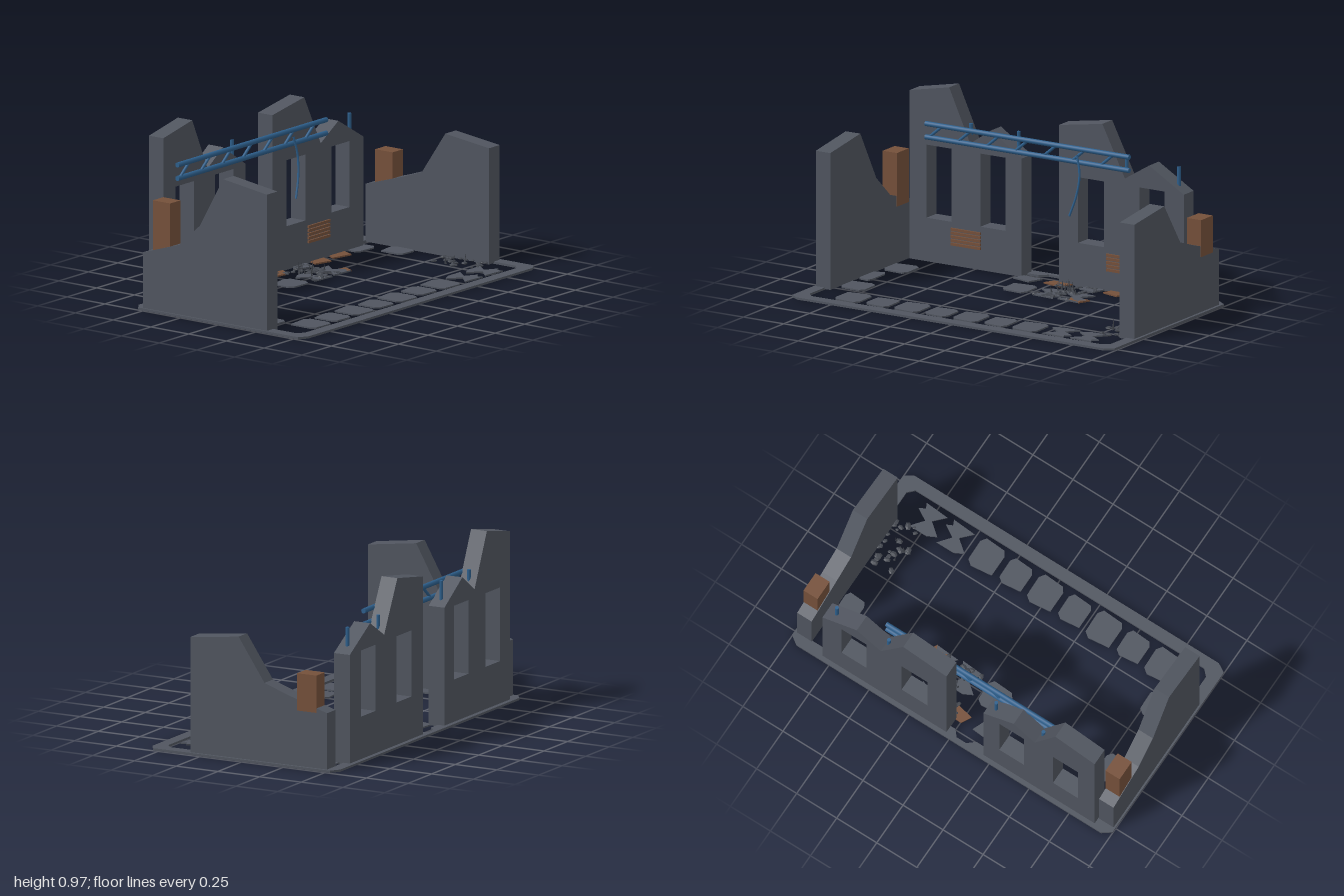
import * as THREE from 'three';

export function createModel() {
  const root = new THREE.Group();
  root.name = 'ruinedBuilding';
  const mat = (name, color) => {
    const m = new THREE.MeshStandardMaterial({ color });
    m.name = name;
    return m;
  };
  const stone = mat('slate grey stone', 0x50555f);
  const brick = mat('rusty brown', 0x75503a);
  const steel = mat('blue steel', 0x2d5f8c);
  const rubbleMat = mat('dark rubble', 0x41454d);

  let seed = 11;
  const rnd = () => (seed = (seed * 16807) % 2147483647) / 2147483647;

  const add = (name, geo, m, x = 0, y = 0, z = 0, parent = root) => {
    const mesh = new THREE.Mesh(geo, m);
    mesh.name = name;
    mesh.position.set(x, y, z);
    parent.add(mesh);
    return mesh;
  };
  const group = (name) => {
    const g = new THREE.Group();
    g.name = name;
    root.add(g);
    return g;
  };
  const poly = (pts) => new THREE.Shape(pts.map(([x, y]) => new THREE.Vector2(x, y)));
  const extrude = (shape, depth) => new THREE.ExtrudeGeometry(shape, { depth, bevelEnabled: false });
  const bar = (name, a, b, r, parent = root) => {
    const p = new THREE.Vector3(...a), q = new THREE.Vector3(...b);
    const d = q.clone().sub(p);
    const mesh = add(name, new THREE.CylinderGeometry(r, r, d.length(), 10), steel, 0, 0, 0, parent);
    mesh.position.copy(p).add(q).multiplyScalar(0.5);
    mesh.quaternion.setFromUnitVectors(new THREE.Vector3(0, 1, 0), d.normalize());
  };

  // Foundation kerb with chamfered corners and a notch at the doorway
  const kerb = poly([[-1, -0.53], [-0.95, -0.565], [0.95, -0.565], [1, -0.53],
    [1, 0.53], [0.95, 0.56], [-0.95, 0.56], [-1, 0.53]]);
  kerb.holes.push(poly([[-0.935, -0.46], [-0.9, -0.5], [-0.13, -0.5], [-0.09, -0.535], [-0.03, -0.535],
    [0, -0.5], [0.9, -0.5], [0.935, -0.46], [0.935, 0.46], [0.9, 0.495], [-0.9, 0.495], [-0.935, 0.46]]));
  add('foundationKerb', extrude(kerb, 0.012).rotateX(Math.PI / 2), stone, 0, 0.013, 0);

  // Broken back walls with window openings
  const backWall = (name, outline, windows, y0, y1) => {
    const s = poly(outline);
    for (const [a, b] of windows) s.holes.push(poly([[a, y0], [b, y0], [b, y1], [a, y1]]));
    add(name, extrude(s, 0.095), stone, 0, 0, -0.54);
  };
  backWall('backWallRight', [[-0.895, 0.005], [-0.2, 0.005], [-0.2, 0.645], [-0.39, 0.77],
    [-0.52, 0.68], [-0.65, 0.965], [-0.895, 0.915]], [[-0.79, -0.635], [-0.455, -0.3]], 0.24, 0.635);
  backWall('backWallLeft', [[0.03, 0.005], [0.805, 0.005], [0.805, 0.595], [0.59, 0.722],
    [0.44, 0.63], [0.3, 0.905], [0.03, 0.86]], [[0.15, 0.31], [0.53, 0.685]], 0.24, 0.595);

  // Sloping side walls, profile given as z, y
  const sideWall = (name, x, profile) => {
    const pts = [[0.315, 0.005], ...profile, [-0.505, 0.005]].map(([z, y]) => [-z, y]);
    add(name, extrude(poly(pts), 0.09).rotateY(Math.PI / 2), stone, x, 0, 0);
  };
  sideWall('sideWallRight', -0.99, [[0.315, 0.745], [0.025, 0.785], [-0.13, 0.51], [-0.265, 0.388], [-0.505, 0.312]]);
  sideWall('sideWallLeft', 0.895, [[0.315, 0.63], [0.025, 0.665], [-0.13, 0.435], [-0.265, 0.388], [-0.505, 0.315]]);

  // Brown stacks on the low ends of the side walls
  for (const [x, top] of [[-0.943, 0.6], [0.943, 0.51]]) {
    add('cornerStack', new THREE.BoxGeometry(0.088, top - 0.31, 0.115), brick, x, (top + 0.31) / 2, -0.385);
  }

  // Slatted vents under the windows
  for (const x of [-0.545, 0.42]) {
    const vent = group('vent');
    for (let i = 0; i < 5; i++) {
      add('ventSlat', new THREE.BoxGeometry(0.182, 0.014, 0.012), brick, x, 0.122 + i * 0.02, -0.441, vent);
    }
  }

  // Fallen roof truss: two rails with slanting braces
  const truss = group('roofTruss');
  const tz = -0.435;
  for (const y of [0.68, 0.752]) bar('trussRail', [-0.79, y, tz], [0.475, y, tz], 0.0135, truss);
  for (let i = 0; i < 7; i++) {
    const x = -0.77 + i * 0.177;
    bar('trussBrace', [x, 0.68, tz], [x + 0.085, 0.752, tz], 0.008, truss);
  }

  // Reinforcing rods sticking out of the wall tops
  for (const [x, top] of [[-0.545, 0.775], [-0.25, 0.775], [0.42, 0.727], [0.745, 0.727]]) {
    bar('wallRod', [x, top - 0.105, -0.493], [x, top, -0.493], 0.01);
  }

  // Hanging cable
  const cable = new THREE.CatmullRomCurve3([[0.165, 0.725, -0.41], [0.187, 0.62, -0.4],
    [0.175, 0.51, -0.387], [0.14, 0.4, -0.375]].map((p) => new THREE.Vector3(...p)));
  add('hangingCable', new THREE.TubeGeometry(cable, 16, 0.006, 6), steel);

  // Broken floor slabs
  const slabs = group('floorSlabs');
  const whole = [[-0.5, -0.42], [0.28, -0.5], [0.48, -0.36], [0.5, 0.32], [0.36, 0.5], [-0.38, 0.46], [-0.5, 0.3]];
  const split = [[-0.5, -0.3], [-0.2, -0.46], [0.42, -0.46], [0.1, -0.05], [0.5, 0.2],
    [0.3, 0.3], [0.38, 0.48], [-0.42, 0.42], [-0.08, 0.05]];
  const chip = [[-0.3, -0.5], [0.5, -0.4], [0.28, 0.5], [-0.5, 0.2]];
  const slab = (outline, x, z, w, d, m = stone) =>
    add('floorSlab', extrude(poly(outline.map(([a, b]) => [a * w, b * d])), 0.008).rotateX(Math.PI / 2),
      m, x, 0.012, z, slabs);
  for (let i = 0; i < 7; i++) slab(whole, -0.71 + i * 0.183, 0.39, i % 2 ? 0.14 : 0.155, i % 2 ? 0.155 : 0.172);
  for (const [x, z] of [[0.58, 0.39], [0.75, 0.39], [0.11, -0.24], [0.27, -0.24]]) slab(split, x, z, 0.17, 0.165);
  for (const [x, z, w, d] of [[-0.815, -0.24, 0.15, 0.155], [-0.815, 0.18, 0.15, 0.15], [-0.86, -0.03, 0.075, 0.175],
    [-0.08, -0.24, 0.15, 0.15], [0.83, -0.24, 0.12, 0.15], [0.75, -0.43, 0.15, 0.11]]) slab(whole, x, z, w, d);
  slab(chip, -0.15, -0.415, 0.15, 0.09);
  slab(chip, 0.25, -0.415, 0.13, 0.09);
  for (const [x, z, w, d] of [[0.04, -0.415, 0.15, 0.08], [0.4, -0.415, 0.13, 0.09],
    [0.57, -0.42, 0.15, 0.09], [0.3, -0.195, 0.13, 0.07]]) slab(chip, x, z, w, d, brick);

  // Rubble heaps: flat pebbles and a few upright shards
  const heap = (cx, cz, w, d, pebbles, shards) => {
    const g = group('rubbleHeap');
    for (let i = 0; i < pebbles; i++) {
      const r = 0.009 + rnd() * 0.013;
      const p = add('pebble', new THREE.IcosahedronGeometry(r, 0), rubbleMat,
        cx + (rnd() - 0.5) * w, 0.012, cz + (rnd() - 0.5) * d, g);
      p.scale.set(1.1, 0.4, 0.85);
      p.rotation.y = rnd() * 6;
    }
    for (let i = 0; i < shards; i++) {
      const h = 0.035 + rnd() * 0.045;
      const s = add('shard', new THREE.ConeGeometry(0.008, h, 4), rubbleMat,
        cx + (rnd() - 0.5) * w * 0.7, h / 2, cz + (rnd() - 0.5) * d * 0.6, g);
      s.rotation.z = (rnd() - 0.5) * 0.6;
    }
  };
  heap(0.17, -0.3, 0.26, 0.26, 34, 9);
  heap(0.82, 0.18, 0.15, 0.28, 26, 3);

  return root;
}
